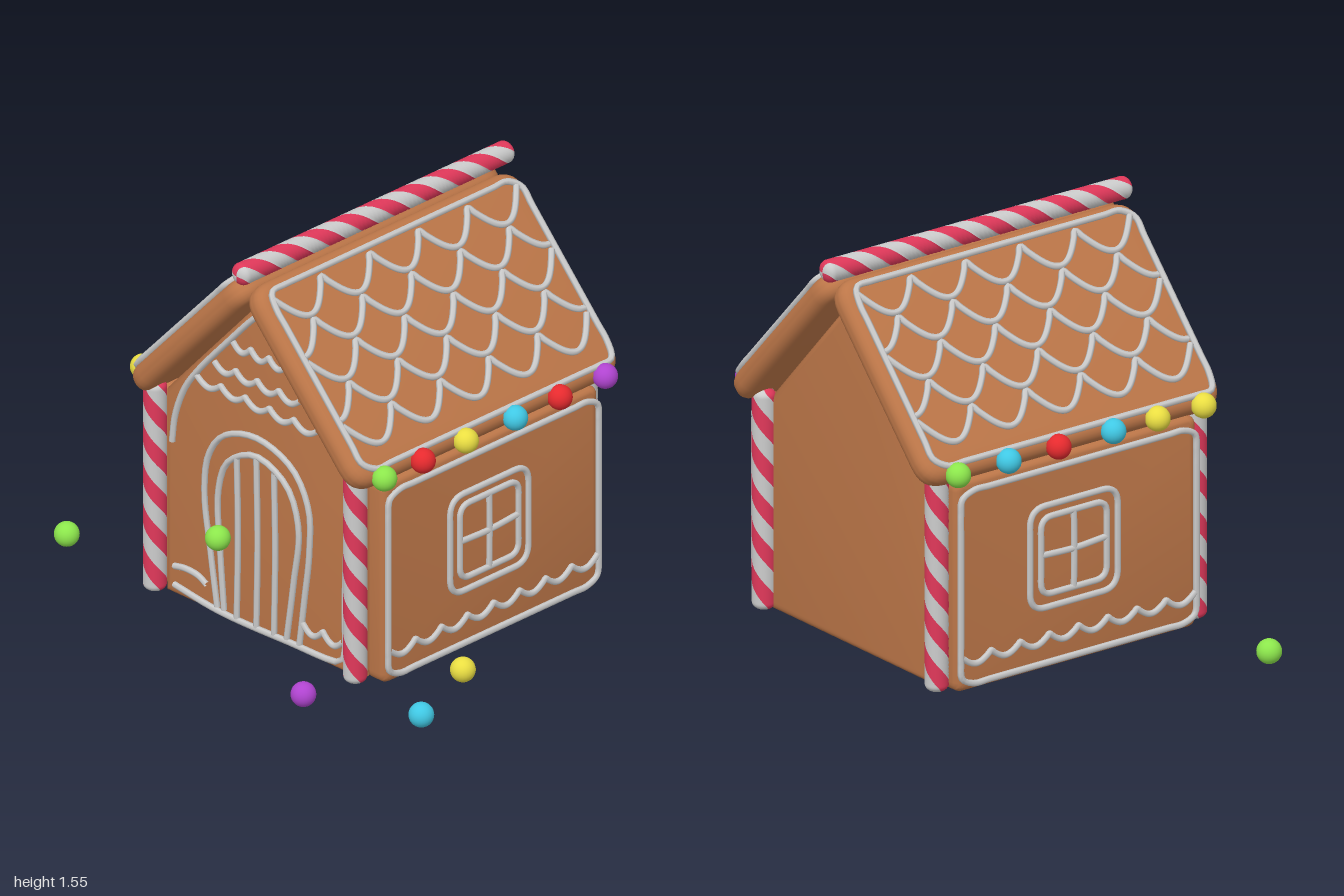
import * as THREE from 'three';
import { toCreasedNormals } from 'three/addons/utils/BufferGeometryUtils.js';

const CX = 0.057, CZ = -0.09; // middle of the house
const mat = (color) => new THREE.MeshStandardMaterial({ color, side: THREE.DoubleSide });
const biscuit = mat(0xbc7648), icing = mat(0xcccccc), white = mat(0xcccccc), stripeRed = mat(0xe0385a);
const candy = {
  green: mat(0x8ce64c), red: mat(0xe62a2e), yellow: mat(0xeade42),
  cyan: mat(0x40c8e4), purple: mat(0xb044d0),
};

function add(parent, name, geometry, material) {
  const mesh = new THREE.Mesh(geometry, material);
  mesh.name = name;
  parent.add(mesh);
  return mesh;
}

function roundRect(x0, y0, x1, y1, r) {
  const s = new THREE.Shape();
  s.moveTo(x0 + r, y0);
  s.lineTo(x1 - r, y0).quadraticCurveTo(x1, y0, x1, y0 + r);
  s.lineTo(x1, y1 - r).quadraticCurveTo(x1, y1, x1 - r, y1);
  s.lineTo(x0 + r, y1).quadraticCurveTo(x0, y1, x0, y1 - r);
  s.lineTo(x0, y0 + r).quadraticCurveTo(x0, y0, x0 + r, y0);
  return s;
}

// Biscuit slab with soft edges, centred on its own thickness
function slab(shape, thickness, bevel) {
  const geo = new THREE.ExtrudeGeometry(shape, {
    depth: thickness - 2 * bevel, bevelSize: bevel, bevelThickness: bevel,
    bevelOffset: -bevel, bevelSegments: 5, curveSegments: 6,
  });
  geo.translate(0, 0, -(thickness - 2 * bevel) / 2);
  return toCreasedNormals(geo, 0.8);
}

// Piped line of icing through [x, y] points at depth z
function pipe(parent, name, pts, z, closed = false) {
  const curve = new THREE.CatmullRomCurve3(pts.map(([x, y]) => new THREE.Vector3(x, y, z)), closed, 'centripetal');
  const steps = Math.max(8, Math.min(300, pts.length * 4));
  add(parent, name, new THREE.TubeGeometry(curve, steps, 0.0125, 6, closed), icing);
}

function pipeRect(parent, name, x0, y0, x1, y1, r, z) {
  const pts = roundRect(x0, y0, x1, y1, r).getSpacedPoints(56).slice(0, -1).map((p) => [p.x, p.y]);
  pipe(parent, name, pts, z, true);
}

// Row of hanging loops between x0 and x1; sharp cusps at phase + n * pitch
function scallops(x0, x1, y, sag, pitch, phase) {
  const step = pitch / 12, pts = [];
  for (let i = Math.ceil((x0 - phase) / step - 1e-6); phase + i * step <= x1 + 1e-6; i++) {
    pts.push([phase + i * step, y - sag * Math.abs(Math.sin(Math.PI * i / 12))]);
  }
  return pts;
}

// Striped stick along y: four twisted bands with rounded ends
function cane(name, length, radius, hand) {
  const group = new THREE.Group(), rows = 110, cols = 6, cap = 0.03;
  group.name = name;
  for (let band = 0; band < 4; band++) {
    const pos = [], index = [];
    for (let i = 0; i <= rows; i++) {
      const s = length * (1 - Math.cos(Math.PI * i / rows)) / 2;
      const d = Math.min(1, Math.min(s, length - s) / cap);
      const r = radius * Math.sqrt(Math.max(0, 1 - (1 - d) ** 2));
      for (let j = 0; j <= cols; j++) {
        const a = (band + j / cols) * Math.PI / 2 + hand * 2 * Math.PI * s / 0.33;
        pos.push(r * Math.cos(a), s - length / 2, r * Math.sin(a));
        if (i < rows && j < cols) {
          const p = i * (cols + 1) + j, q = p + cols + 1;
          index.push(p, q, p + 1, p + 1, q, q + 1);
        }
      }
    }
    const geo = new THREE.BufferGeometry();
    geo.setAttribute('position', new THREE.Float32BufferAttribute(pos, 3));
    geo.setIndex(index);
    geo.computeVertexNormals();
    add(group, band % 2 ? 'redStripe' : 'whiteStripe', geo, band % 2 ? stripeRed : white);
  }
  return group;
}

// Group whose local x runs along the house, y up the panel and z outwards
function panelGroup(name, side, sin, cos, x, y) {
  const g = new THREE.Group();
  g.name = name;
  const up = new THREE.Vector3(-side * sin, cos, 0), out = new THREE.Vector3(side * cos, sin, 0);
  g.quaternion.setFromRotationMatrix(new THREE.Matrix4().makeBasis(new THREE.Vector3(0, 0, -side), up, out));
  g.position.set(CX + side * x, y, CZ);
  return g;
}

function sideWall(side) {
  const g = panelGroup(side > 0 ? 'leftWall' : 'rightWall', side, 0, 1, 0.55, 0);
  add(g, 'wallPanel', slab(roundRect(-0.55, 0.02, 0.55, 0.84, 0.04), 0.104, 0.03), biscuit);
  const z = 0.056;
  pipeRect(g, 'wallOutline', -0.535, 0.05, 0.54, 0.8, 0.06, z);
  pipe(g, 'wallWave', scallops(-0.53, 0.535, 0.16, 0.035, 0.133, -0.53), z);
  pipeRect(g, 'windowFrame', -0.22, 0.265, 0.18, 0.66, 0.07, z);
  pipeRect(g, 'windowPane', -0.17, 0.315, 0.13, 0.615, 0.05, z);
  pipe(g, 'windowBar', [[-0.17, 0.47], [-0.02, 0.465], [0.13, 0.475]], z);
  pipe(g, 'windowBar', [[-0.02, 0.315], [-0.018, 0.46], [-0.02, 0.615]], z);
  return g;
}

function roofSide(side) {
  const g = panelGroup(side > 0 ? 'leftRoof' : 'rightRoof', side, 0.68, 0.733, 0.297, 1.15);
  add(g, 'roofPanel', slab(roundRect(-0.68, -0.418, 0.68, 0.418, 0.1), 0.1, 0.045), biscuit);
  const z = 0.056;
  pipeRect(g, 'roofOutline', -0.63, -0.373, 0.645, 0.375, 0.05, z);
  for (let row = 0; row < 5; row++) {
    const phase = row % 2 ? -0.25 : -0.375;
    pipe(g, 'roofTiles', scallops(-0.63, 0.64, 0.348 - row * 0.132, 0.112, 0.25, phase), z);
  }
  return g;
}

export function createModel() {
  const model = new THREE.Group();
  model.name = 'gingerbreadHouse';

  // Gable ends
  const gable = new THREE.Shape([
    [-0.495, 0.015], [0.495, 0.015], [0.495, 0.84], [0, 1.385], [-0.495, 0.84],
  ].map(([x, y]) => new THREE.Vector2(x, y)));
  add(model, 'frontWall', slab(gable, 0.1, 0.04), biscuit).position.set(CX, 0, 0.445);
  add(model, 'backWall', slab(gable, 0.1, 0.04), biscuit).position.set(CX, 0, -0.61);

  // Side walls and roof
  for (const side of [1, -1]) model.add(sideWall(side), roofSide(side));

  // Front icing
  const front = new THREE.Group();
  front.name = 'frontIcing';
  model.add(front);
  const z = 0.5;
  pipe(front, 'gableOutline', [[-0.385, 0.65], [-0.37, 0.76], [-0.32, 0.89], [-0.25, 0.99], [-0.1, 1.16],
    [0.03, 1.3], [0.055, 1.32], [0.09, 1.29], [0.2, 1.17], [0.38, 0.99], [0.45, 0.9]], z);
  pipe(front, 'rightOutline', [[0.505, 0.57], [0.495, 0.3], [0.492, 0.09], [0.47, 0.065], [0.2, 0.05],
    [-0.15, 0.045], [-0.375, 0.07]], z);
  pipe(front, 'snowLine', [[-0.375, 0.145], [-0.32, 0.155], [-0.25, 0.15], [-0.21, 0.13]], z);
  pipe(front, 'snowLine', scallops(0.28, 0.49, 0.155, 0.035, 0.105, 0.28), z);
  pipe(front, 'gableWave', scallops(-0.075, 0.2, 1.17, 0.03, 0.092, -0.075), z);
  pipe(front, 'gableWave', scallops(-0.17, 0.27, 1.055, 0.03, 0.11, -0.17), z);
  pipe(front, 'gableWave', scallops(-0.26, 0.36, 0.965, 0.03, 0.124, -0.26), z);
  pipe(front, 'doorFrame', [[-0.155, 0.06], [-0.19, 0.28], [-0.22, 0.5], [-0.2, 0.66], [-0.12, 0.77], [0.05, 0.82],
    [0.23, 0.76], [0.31, 0.63], [0.315, 0.45], [0.29, 0.25], [0.265, 0.06]], z);
  pipe(front, 'doorEdge', [[-0.12, 0.06], [-0.14, 0.3], [-0.15, 0.53], [-0.1, 0.67], [0.045, 0.745],
    [0.2, 0.68], [0.26, 0.53], [0.235, 0.3], [0.2, 0.06]], z);
  for (const [x, top] of [[-0.055, 0.71], [0.045, 0.74], [0.135, 0.71]]) {
    pipe(front, 'doorPlank', [[x, 0.05], [x + 0.006, 0.4], [x, top]], z);
  }

  // Candy canes on the corners and along the ridge
  for (const x of [-0.465, 0.557]) {
    for (const cz of [0.508, -0.67]) {
      const c = cane('cornerCane', 0.86, 0.044, 1);
      c.position.set(x, 0.448, cz);
      model.add(c);
    }
  }
  const ridge = cane('ridgeCane', 1.4, 0.043, -1);
  ridge.rotation.x = Math.PI / 2;
  ridge.position.set(0.042, 1.515, -0.1);
  model.add(ridge);

  // Candy balls: eaves, door knob and loose ones on the ground
  const ballGeo = new THREE.SphereGeometry(0.047, 24, 16);
  const ball = (name, color, x, y, bz) => add(model, name, ballGeo, candy[color]).position.set(x, y, bz);
  const zs = [0.477, 0.28, 0.06, -0.192, -0.42, -0.652];
  ['green', 'red', 'yellow', 'cyan', 'red', 'purple'].forEach((c, i) => ball('eaveCandy', c, 0.675, 0.88, zs[i]));
  const zl = [0.475, 0.265, 0.063, -0.187, -0.415, -0.645];
  ['yellow', 'yellow', 'cyan', 'red', 'cyan', 'green'].forEach((c, i) => ball('eaveCandy', c, -0.56, 0.88, zl[i]));
  ball('doorKnob', 'green', -0.112, 0.37, 0.54);
  ball('looseCandy', 'green', -0.953, 0.05, 0.47);
  ball('looseCandy', 'purple', 0.534, 0.05, 0.75);
  ball('looseCandy', 'yellow', 0.806, 0.05, 0.207);
  ball('looseCandy', 'cyan', 0.948, 0.05, 0.562);
  return model;
}
